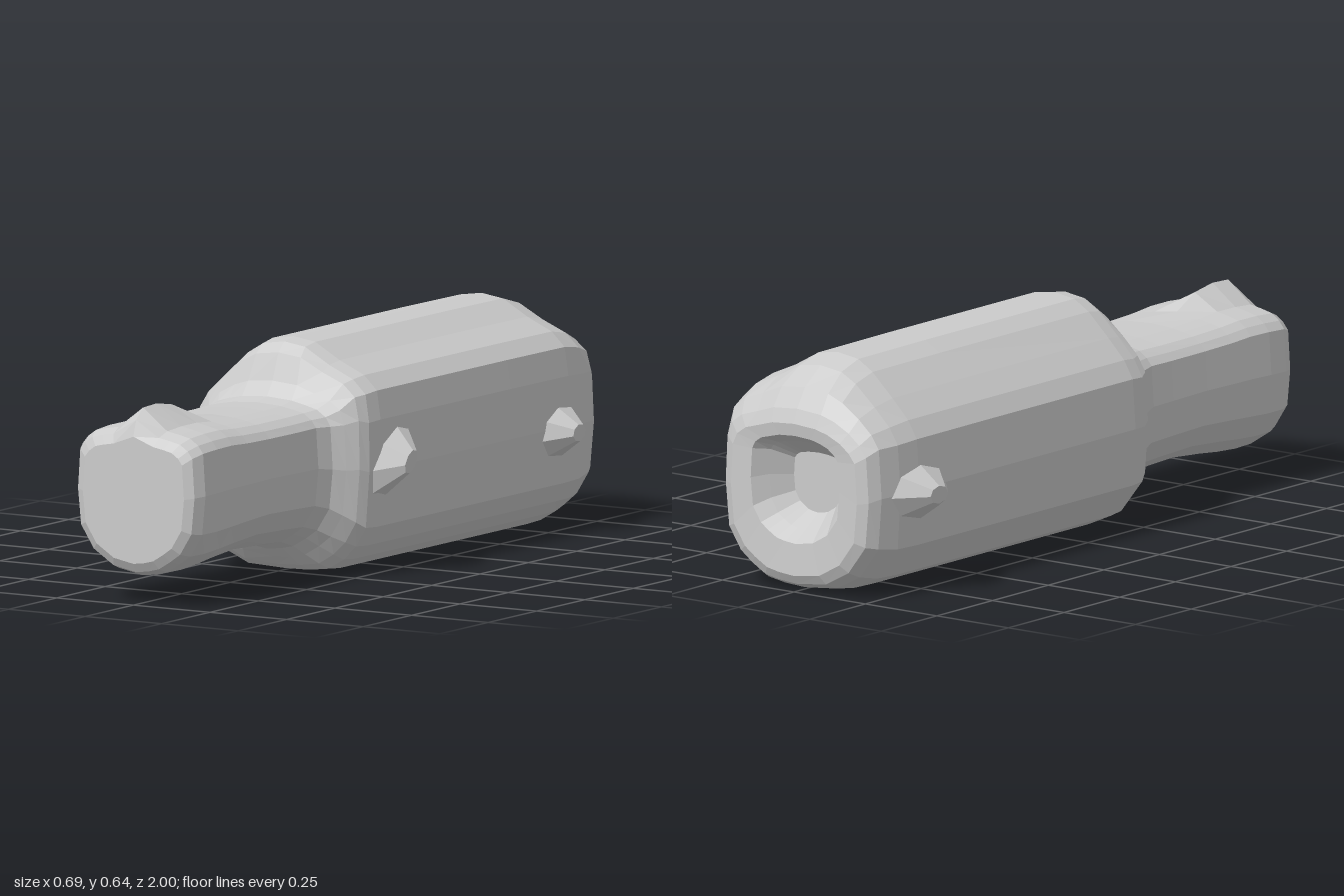
import * as THREE from 'three';

const material = new THREE.MeshStandardMaterial({ color: 0xcccccc, flatShading: true, side: THREE.DoubleSide });

// Outlines run counter-clockwise seen from the front, 22 points each, normalised to x -1..1 and y 0..1.
const normalise = (pts, w, y0, y1) => pts.map(([x, y]) => [x / w, (y - y0) / (y1 - y0)]);

const bodyOutline = normalise([
  [0, 0.005], [0.08, 0.006], [0.15, 0.015], [0.2, 0.045], [0.24, 0.085], [0.273, 0.14], [0.285, 0.3], [0.284, 0.44],
  [0.272, 0.52], [0.23, 0.56], [0.15, 0.595], [0.07, 0.64], [0, 0.65], [-0.07, 0.64], [-0.12, 0.61],
  [-0.19, 0.545], [-0.245, 0.49], [-0.275, 0.44], [-0.285, 0.3], [-0.275, 0.14], [-0.2, 0.045], [-0.12, 0.01],
], 0.285, 0.005, 0.65);

const neckOutline = normalise([
  [0, 0.08], [0.045, 0.086], [0.08, 0.095], [0.12, 0.12], [0.155, 0.145], [0.195, 0.21], [0.206, 0.32], [0.198, 0.44],
  [0.182, 0.462], [0.155, 0.48], [0.12, 0.488], [0.08, 0.495], [0, 0.5], [-0.08, 0.495], [-0.12, 0.488],
  [-0.155, 0.48], [-0.18, 0.462], [-0.198, 0.44], [-0.206, 0.32], [-0.195, 0.21], [-0.15, 0.14], [-0.08, 0.095],
], 0.206, 0.08, 0.5);

const TOP = 12; // index of the top centre point

// Ring from a station: z, half width, bottom, top, blend from neck to body outline, raised top ridge
function ring([z, w, bottom, top, blend, ridge = 0]) {
  return neckOutline.map(([nx, ny], i) => {
    const x = THREE.MathUtils.lerp(nx, bodyOutline[i][0], blend);
    const y = THREE.MathUtils.lerp(ny, bodyOutline[i][1], blend);
    return [x * w, bottom + y * (top - bottom) + (i === TOP ? ridge : 0), z];
  });
}

// Skin stations ordered front to back, with optional end caps
function loft(name, stations, capFront, capBack) {
  const rings = stations.map(ring);
  const n = neckOutline.length;
  const positions = rings.flat(2);
  const index = [];
  for (let i = 0; i < rings.length - 1; i++) {
    for (let j = 0; j < n; j++) {
      const a = i * n + j, b = i * n + (j + 1) % n;
      index.push(a, a + n, b, b, a + n, b + n);
    }
  }
  const cap = (r, front) => {
    const [z, , bottom, top] = stations[r];
    const c = positions.length / 3;
    positions.push(0, (bottom + top) / 2, z);
    for (let j = 0; j < n; j++) {
      const a = r * n + j, b = r * n + (j + 1) % n;
      index.push(c, ...(front ? [a, b] : [b, a]));
    }
  };
  if (capFront) cap(0, true);
  if (capBack) cap(rings.length - 1, false);
  const geometry = new THREE.BufferGeometry();
  geometry.setAttribute('position', new THREE.Float32BufferAttribute(positions, 3));
  geometry.setIndex(index);
  geometry.computeVertexNormals();
  const mesh = new THREE.Mesh(geometry, material);
  mesh.name = name;
  return mesh;
}

// Blunt eight-sided knob on the side wall
function knob(name, side, y, z, ry, rz, tilt) {
  const geometry = new THREE.CylinderGeometry(0.28, 1, 1, 8, 1);
  geometry.rotateZ(-side * Math.PI / 2);
  geometry.scale(0.085, ry, rz);
  geometry.rotateX(tilt);
  const mesh = new THREE.Mesh(geometry, material);
  mesh.name = name;
  mesh.position.set(side * 0.3025, y, z);
  return mesh;
}

export function createModel() {
  const group = new THREE.Group();
  group.name = 'bottleShape';

  // Narrow neck with a lip and a small ridge on top
  group.add(loft('neck', [
    [1.0, 0.165, 0.12, 0.455, 0, 0.02],
    [0.985, 0.19, 0.095, 0.48, 0, 0.04],
    [0.95, 0.204, 0.082, 0.495, 0, 0.055],
    [0.88, 0.206, 0.08, 0.5, 0, 0.053],
    [0.8, 0.204, 0.085, 0.5, 0, 0.04],
    [0.72, 0.202, 0.094, 0.493, 0, 0.006],
    [0.6, 0.2, 0.104, 0.488, 0],
    [0.45, 0.2, 0.098, 0.488, 0],
    [0.36, 0.2, 0.092, 0.49, 0],
    [0.31, 0.215, 0.075, 0.5, 0.1],
  ], true, false));

  // Shoulder and long main body, rounded over at the back
  group.add(loft('body', [
    [0.31, 0.215, 0.075, 0.5, 0.1],
    [0.28, 0.24, 0.05, 0.54, 0.4],
    [0.25, 0.265, 0.025, 0.615, 0.8],
    [0.22, 0.278, 0.01, 0.642, 1],
    [0.17, 0.284, 0.005, 0.65, 1],
    [-0.5, 0.285, 0.005, 0.65, 1],
    [-0.8, 0.284, 0.005, 0.648, 1],
    [-0.88, 0.28, 0.005, 0.625, 0.9],
    [-0.95, 0.268, 0.01, 0.575, 0.6],
    [-0.985, 0.25, 0.025, 0.52, 0.4],
    [-1.0, 0.22, 0.05, 0.48, 0.3],
  ], false, false));

  // Recess in the back face
  group.add(loft('backRecess', [
    [-1.0, 0.22, 0.05, 0.48, 0.3],
    [-0.995, 0.155, 0.14, 0.445, 0.2],
    [-0.95, 0.125, 0.17, 0.42, 0],
    [-0.89, 0.085, 0.21, 0.38, 0],
  ], false, true));

  // Side knobs: two on the left, one on the right
  group.add(knob('leftFrontKnob', 1, 0.32, 0.11, 0.085, 0.14, 0.75));
  group.add(knob('leftBackKnob', 1, 0.29, -0.76, 0.085, 0.115, 0.2));
  group.add(knob('rightBackKnob', -1, 0.29, -0.79, 0.09, 0.14, 0));

  return group;
}
